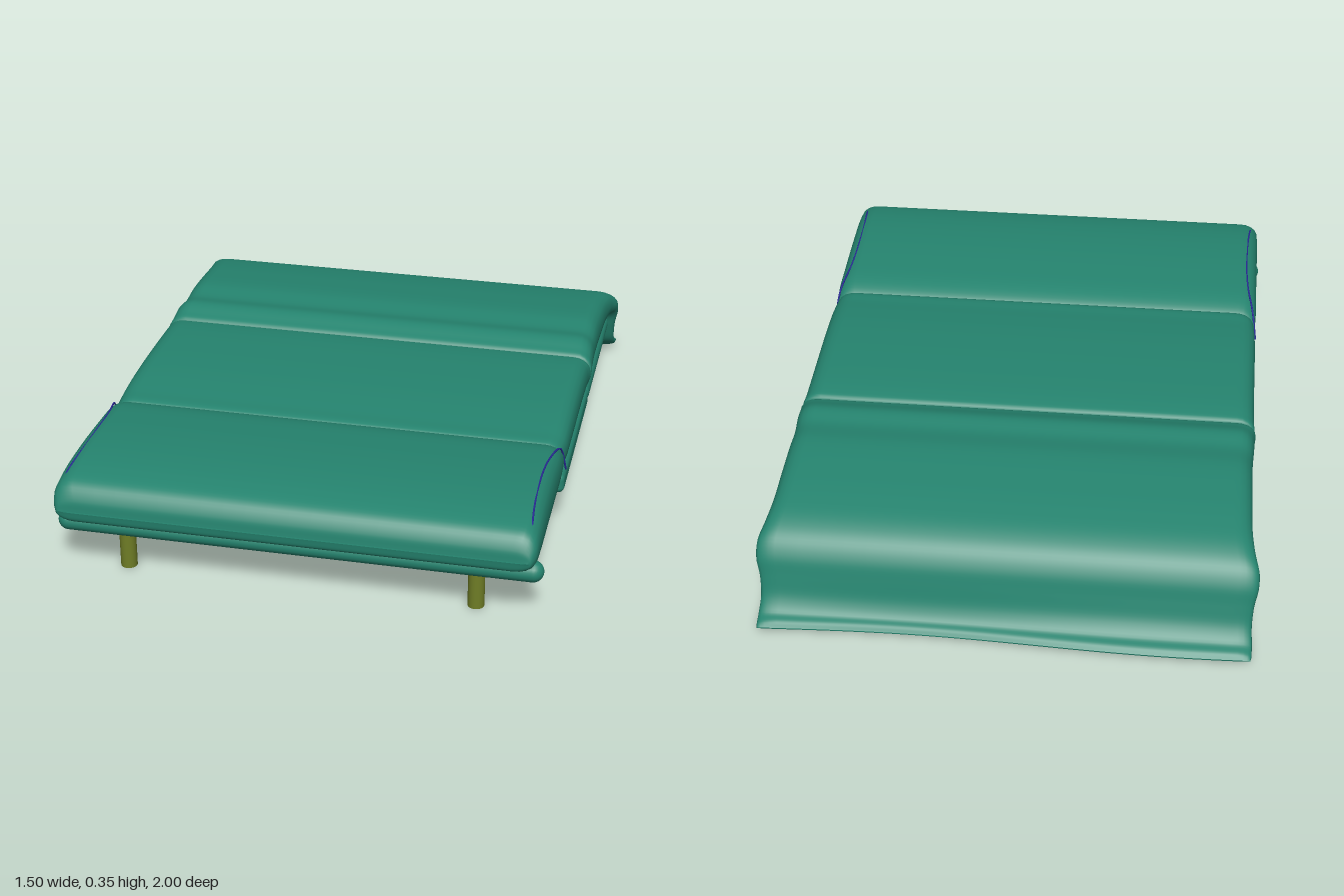
import * as THREE from 'three';
import { RoundedBoxGeometry } from 'three/addons/geometries/RoundedBoxGeometry.js';

const fabric = new THREE.MeshStandardMaterial({ color: 0x25846f, side: THREE.DoubleSide });
const wood = new THREE.MeshStandardMaterial({ color: 0x6f7d26 });
const metal = new THREE.MeshStandardMaterial({ color: 0x6b1028 });
const thread = new THREE.MeshStandardMaterial({ color: 0x2a2a9c });

// Rounded cross-section shared by all cushions: [flat part, rounded part, bottom-to-top blend]
function cushionRing() {
  const ring = [], arc = 10, flat = 20;
  for (const side of [1, -1]) {
    for (let i = 0; i <= arc; i++) {
      const a = side * (-Math.PI / 2 + Math.PI * i / arc), s = Math.sin(a);
      ring.push([side, side * Math.cos(a), 0.5 + 0.5 * Math.sign(s) * Math.abs(s) ** 0.75]);
    }
    for (let i = 1; i < flat; i++) ring.push([side * (1 - 2 * i / flat), 0, side > 0 ? 1 : 0]);
  }
  return ring;
}

// Cushion lofted along +z; each station is [top z, top y, bottom z, bottom y, half width]
function cushion(stations, r = 0.06) {
  const top = new THREE.CatmullRomCurve3(stations.map(s => new THREE.Vector3(s[4], s[1], s[0])));
  const bottom = new THREE.CatmullRomCurve3(stations.map(s => new THREE.Vector3(s[4], s[3], s[2])));
  const ring = cushionRing(), n = ring.length, rows = (stations.length - 1) * 5;
  const pos = [], index = [];
  for (let i = 0; i <= rows; i++) {
    const t = top.getPoint(i / rows), b = bottom.getPoint(i / rows);
    ring.forEach(([k, c, s], j) => {
      const x = k * (t.x - r) + c * r;
      let z = b.z + (t.z - b.z) * s;
      // wavy hem on the hanging flap
      if (z < -0.9) z += 0.25 * (-0.9 - z) * (0.5 - 0.5 * Math.cos(4 * (x + 0.5)));
      pos.push(x, Math.max(0, b.y + (t.y - b.y) * s), z);
      if (i < rows) {
        const a = i * n + j, e = i * n + (j + 1) % n;
        index.push(a, e, a + n, e, e + n, a + n);
      }
    });
  }
  const g = new THREE.BufferGeometry();
  g.setAttribute('position', new THREE.Float32BufferAttribute(pos, 3));
  g.setIndex(index);
  g.computeVertexNormals();
  return g;
}

export function createModel() {
  const model = new THREE.Group();
  const add = (name, geometry, material, x = 0, y = 0, z = 0) => {
    const m = new THREE.Mesh(geometry, material);
    m.name = name;
    m.position.set(x, y, z);
    model.add(m);
    return m;
  };
  // Box from its limits, optionally rounded
  const block = (name, material, [x0, x1], [y0, y1], [z0, z1], r = 0) => {
    const d = [x1 - x0, y1 - y0, z1 - z0];
    const g = r ? new RoundedBoxGeometry(...d, 4, r) : new THREE.BoxGeometry(...d);
    return add(name, g, material, (x0 + x1) / 2, (y0 + y1) / 2, (z0 + z1) / 2);
  };

  // Three cushions, the rear one hanging down as a flap
  add('frontCushion', cushion([
    [0.385, 0.25, 0.385, 0.245, 0.70], [0.40, 0.295, 0.375, 0.20, 0.715],
    [0.45, 0.322, 0.45, 0.19, 0.72], [0.57, 0.338, 0.60, 0.182, 0.72],
    [0.76, 0.345, 0.78, 0.182, 0.72], [0.90, 0.334, 0.91, 0.19, 0.72],
    [0.965, 0.315, 0.97, 0.195, 0.717], [0.994, 0.275, 0.993, 0.207, 0.705],
    [1.0, 0.24, 1.0, 0.236, 0.695]]), fabric);
  add('middleCushion', cushion([
    [-0.212, 0.26, -0.212, 0.255, 0.715], [-0.207, 0.305, -0.207, 0.20, 0.725],
    [-0.17, 0.316, -0.17, 0.192, 0.722], [0, 0.325, 0, 0.19, 0.72],
    [0.2, 0.323, 0.2, 0.19, 0.72], [0.34, 0.312, 0.34, 0.192, 0.718],
    [0.41, 0.302, 0.40, 0.20, 0.71], [0.42, 0.26, 0.42, 0.255, 0.70]]), fabric);
  add('backCushionWithFlap', cushion([
    [-0.213, 0.26, -0.213, 0.255, 0.715], [-0.218, 0.305, -0.218, 0.20, 0.727],
    [-0.25, 0.32, -0.25, 0.192, 0.725], [-0.30, 0.335, -0.31, 0.19, 0.723],
    [-0.37, 0.327, -0.38, 0.19, 0.72], [-0.46, 0.335, -0.46, 0.19, 0.72],
    [-0.58, 0.326, -0.58, 0.19, 0.722], [-0.70, 0.31, -0.70, 0.19, 0.725],
    [-0.79, 0.289, -0.78, 0.193, 0.735], [-0.85, 0.255, -0.825, 0.19, 0.748],
    [-0.885, 0.205, -0.848, 0.165, 0.748], [-0.902, 0.145, -0.862, 0.115, 0.738],
    [-0.922, 0.085, -0.885, 0.055, 0.735], [-0.955, 0.045, -0.93, 0.02, 0.738],
    [-0.985, 0.034, -0.98, 0.005, 0.738], [-1.0, 0.02, -1.0, 0.016, 0.735]].reverse()), fabric);

  // Padded base under the cushions, open between the rails towards the front
  block('rearBase', fabric, [-0.72, 0.72], [0.13, 0.195], [-0.825, -0.215], 0.03);
  block('middleBase', fabric, [-0.70, 0.70], [0.13, 0.195], [-0.24, -0.05]);
  block('basePanel', fabric, [-0.68, 0.68], [0.178, 0.195], [-0.06, 0.4]);
  const roll = add('frontRoll', new THREE.CapsuleGeometry(0.0325, 1.395, 8, 20), fabric, 0, 0.158, 0.903);
  roll.rotation.z = Math.PI / 2;

  // Pull-out slatted frame
  block('slatFrameFront', metal, [-0.55, 0.55], [0.13, 0.178], [0.875, 0.89]);
  block('slatFrameBack', metal, [-0.55, 0.55], [0.13, 0.142], [0.395, 0.42]);
  for (let i = 0; i < 11; i++) {
    const x = -0.5 + i * 0.1;
    block('slat', metal, [x - 0.025, x + 0.025], [0.132, 0.14], [0.41, 0.88]);
  }

  const leg = (name, x, z) =>
    add(name, new THREE.CylinderGeometry(0.025, 0.025, 0.13, 24), wood, x, 0.065, z);
  for (const s of [-1, 1]) {
    const span = (a, b) => (s > 0 ? [a, b] : [-b, -a]);
    block('sideRail', fabric, span(0.66, 0.72), [0.13, 0.195], [-0.225, 0.4], 0.02);
    block('slatFrameSide', metal, span(0.53, 0.55), [0.13, 0.142], [0.4, 0.89]);
    block('slatFrameTopBar', metal, span(0.535, 0.55), [0.173, 0.178], [0.4, 0.89]);

    // Legs and lower stretchers
    leg('frontLeg', s * 0.53, 0.868);
    leg('middleLeg', s * 0.635, 0.09);
    leg('rearLeg', s * 0.635, -0.53);
    block('sideStretcher', wood, span(0.622, 0.648), [0.034, 0.072], [-0.53, 0.09]);

    // Stitched seam on the front cushion
    const seam = new THREE.CatmullRomCurve3([
      [0.722, 0.215, 0.385], [0.708, 0.30, 0.42], [0.687, 0.329, 0.55],
      [0.682, 0.338, 0.75], [0.692, 0.319, 0.92], [0.702, 0.265, 0.985],
    ].map(([x, y, z]) => new THREE.Vector3(s * x, y, z)));
    add('seamStitch', new THREE.TubeGeometry(seam, 48, 0.003, 6), thread);
  }
  block('rearStretcher', wood, [-0.635, 0.635], [0.034, 0.072], [-0.543, -0.517]);

  return model;
}
